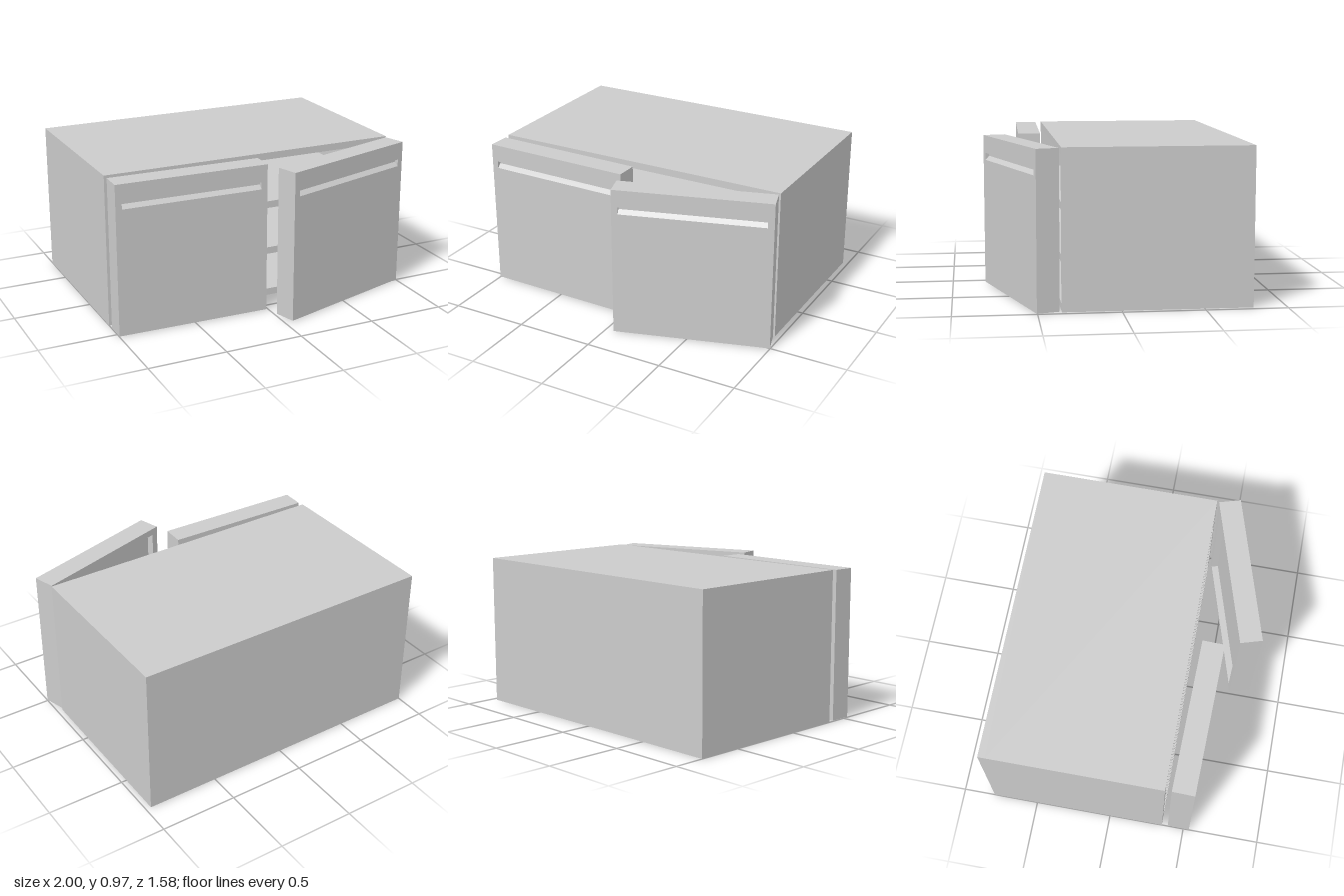
import * as THREE from 'three';

const material = new THREE.MeshStandardMaterial({ color: 0xcccccc, flatShading: true });

function add(parent, name, geometry, x = 0, y = 0, z = 0) {
  const mesh = new THREE.Mesh(geometry, material);
  mesh.name = name;
  mesh.position.set(x, y, z);
  parent.add(mesh);
  return mesh;
}

function rect(Type, x0, y0, x1, y1) {
  const r = new Type();
  r.moveTo(x0, y0);
  r.lineTo(x1, y0);
  r.lineTo(x1, y1);
  r.lineTo(x0, y1);
  r.closePath();
  return r;
}

// Flat rectangular ring: outer and inner are [x0, y0, x1, y1]
function frame(outer, inner, depth) {
  const shape = rect(THREE.Shape, ...outer);
  shape.holes.push(rect(THREE.Path, ...inner));
  return new THREE.ExtrudeGeometry(shape, { depth, bevelEnabled: false });
}

// Open-fronted case with a back panel and two shelves
function makeCabinet() {
  const cabinet = new THREE.Group();
  cabinet.name = 'cabinet';
  const x0 = -1, x1 = 0.965, h = 0.974, t = 0.045;
  const zBack = -0.795, zFront = 0.355;
  const cx = (x0 + x1) / 2, inner = x1 - x0 - 2 * t;
  const depth = zFront - zBack - t;

  add(cabinet, 'caseWalls',
    frame([x0, 0, x1, h], [x0 + t, t, x1 - t, h - t], depth), 0, 0, zBack + t);
  add(cabinet, 'backPanel', new THREE.BoxGeometry(x1 - x0, h, t), cx, h / 2, zBack + t / 2);
  for (const y of [0.312, 0.627]) {
    add(cabinet, 'shelf', new THREE.BoxGeometry(inner, t, depth), cx, y, zBack + t + depth / 2);
  }
  return cabinet;
}

// Door with a recessed back and a sloped finger slot in the front; back face at z = 0
function makeDoor(name, x, z, angle) {
  const door = new THREE.Group();
  door.name = name;
  const w = 0.986, y0 = 0.003, y1 = 0.97, thick = 0.143;
  const rim = 0.045, recess = 0.045, slotDepth = 0.025;
  const slotHalf = 0.453, slotY0 = 0.813, slotY1 = 0.858;
  const outer = [-w / 2, y0, w / 2, y1];
  const core = thick - recess - slotDepth;

  add(door, 'doorRim',
    frame(outer, [-w / 2 + rim, y0 + rim, w / 2 - rim, y1 - rim], recess));
  add(door, 'doorPanel', new THREE.BoxGeometry(w, y1 - y0, core), 0, (y0 + y1) / 2, recess + core / 2);
  add(door, 'doorFront',
    frame(outer, [-slotHalf, slotY0, slotHalf, slotY1], slotDepth), 0, 0, thick - slotDepth);

  // Sloped floor of the finger slot: a triangular section run across the door
  const wedge = new THREE.Shape();
  wedge.moveTo(0, 0);
  wedge.lineTo(slotDepth, 0);
  wedge.lineTo(slotDepth, 0.025);
  wedge.closePath();
  const slope = new THREE.ExtrudeGeometry(wedge, { depth: 2 * slotHalf, bevelEnabled: false });
  add(door, 'handleSlope', slope, -slotHalf, slotY0, thick).rotation.y = Math.PI / 2;

  door.position.set(x, 0, z);
  door.rotation.y = angle;
  return door;
}

export function createModel() {
  const model = new THREE.Group();
  model.name = 'twoDoorCabinet';
  model.add(
    makeCabinet(),
    makeDoor('rightDoor', -0.5035, 0.4065, -0.0233),
    makeDoor('leftDoor', 0.486, 0.51, 0.293)
  );
  return model;
}
